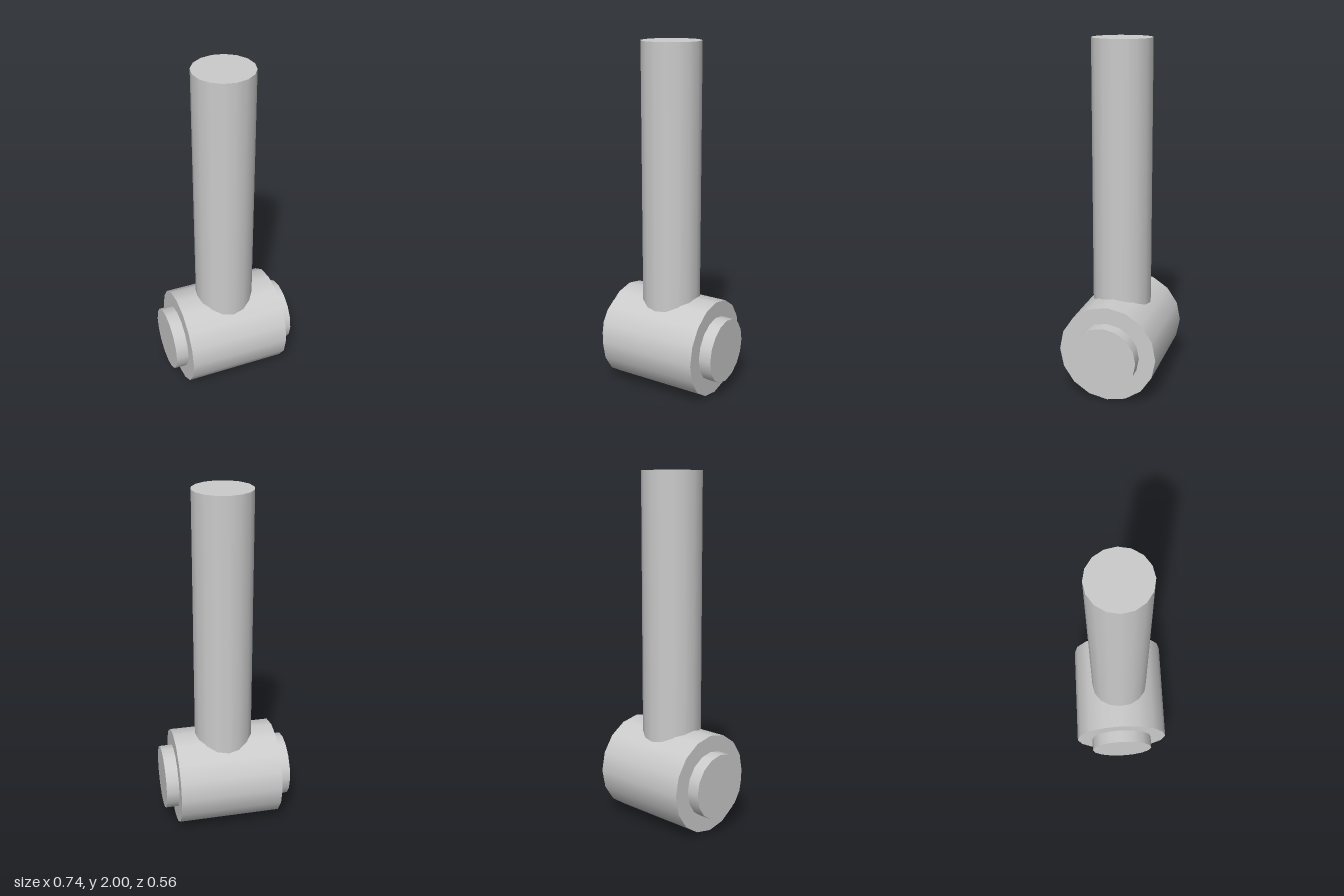
import * as THREE from 'three';

const SIDES = 16;
const AXLE_Y = 0.28;

export function createModel() {
  const group = new THREE.Group();
  const material = new THREE.MeshStandardMaterial({ color: 0xcccccc });

  const addCylinder = (name, radius, length, y, alongX = false) => {
    const geometry = new THREE.CylinderGeometry(radius, radius, length, SIDES);
    if (alongX) geometry.rotateZ(Math.PI / 2);
    const mesh = new THREE.Mesh(geometry, material);
    mesh.name = name;
    mesh.position.y = y;
    group.add(mesh);
  };

  // Upright rod, its foot sunk to the middle of the barrel
  addCylinder('rod', 0.168, 2 - AXLE_Y, (2 + AXLE_Y) / 2);
  // Horizontal barrel
  addCylinder('barrel', 0.28, 0.595, AXLE_Y, true);
  // Pin running through the barrel, showing at both ends
  addCylinder('pin', 0.186, 0.74, AXLE_Y, true);

  return group;
}
